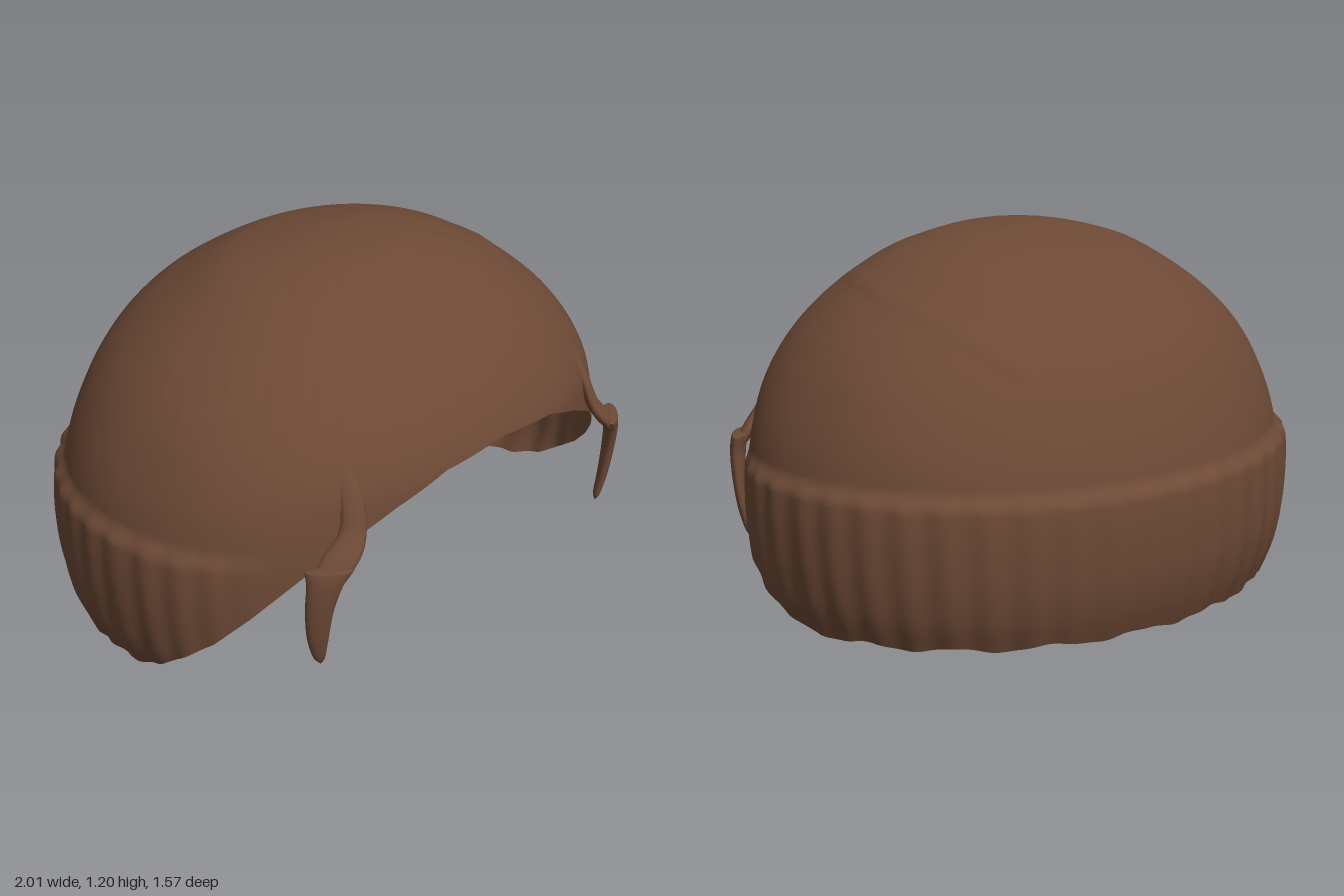
import * as THREE from 'three';

const hairBrown = new THREE.MeshStandardMaterial({ color: 0x6e4a36, side: THREE.DoubleSide });
hairBrown.name = 'hairBrown';

// Cap profile from crown to hem: [y, half width, front z, back z]
const PROFILE = [
  [1.2, 0, 0.08, 0.08], [1.192, 0.18, 0.24, -0.04], [1.15, 0.36, 0.37, -0.23],
  [1.1, 0.48, 0.47, -0.345], [1.0, 0.63, 0.6, -0.5], [0.9, 0.745, 0.69, -0.6],
  [0.8, 0.83, 0.75, -0.66], [0.7, 0.89, 0.785, -0.7], [0.6, 0.935, 0.79, -0.73],
  [0.5, 0.962, 0.79, -0.75], [0.4, 0.972, 0.79, -0.757], [0.3, 0.97, 0.79, -0.755],
  [0.2, 0.96, 0.785, -0.745], [0.1, 0.94, 0.78, -0.72], [0, 0.9, 0.77, -0.68],
];
// Height of the hem by angle from the front, in degrees
const HEM = [[0, 0.72], [14, 0.695], [25, 0.625], [36, 0.535], [48, 0.4],
  [65, 0.2], [80, 0.06], [88, 0.012], [180, 0.01]];

const smooth = THREE.MathUtils.smoothstep;

function hemHeight(a) {
  const d = THREE.MathUtils.radToDeg(a);
  let i = 0;
  while (i < HEM.length - 2 && HEM[i + 1][0] < d) i++;
  const t = (d - HEM[i][0]) / (HEM[i + 1][0] - HEM[i][0]);
  return THREE.MathUtils.lerp(HEM[i][1], HEM[i + 1][1], t);
}

// Catmull-Rom through the profile rows
function profileAt(u) {
  const last = PROFILE.length - 1;
  const i = Math.min(Math.floor(u), last - 1), t = u - i;
  const crown = [1.192, -0.18, -0.04, 0.24];
  return PROFILE[i].map((p1, k) => {
    const p0 = i ? PROFILE[i - 1][k] : crown[k];
    const p2 = PROFILE[i + 1][k];
    const p3 = i + 2 <= last ? PROFILE[i + 2][k] : 2 * p2 - p1;
    return p1 + 0.5 * t * (p2 - p0 + t * (2 * p0 - 5 * p1 + 4 * p2 - p3 + t * (3 * (p1 - p2) + p3 - p0)));
  });
}

function profileIndex(y) {
  let lo = 0, hi = PROFILE.length - 1;
  for (let n = 0; n < 24; n++) {
    const mid = (lo + hi) / 2;
    if (profileAt(mid)[0] > y) lo = mid; else hi = mid;
  }
  return hi;
}

// Triangles for a grid of rings, each closed on itself
function ringGeometry(positions, rings, sides) {
  const index = [];
  for (let j = 0; j < rings - 1; j++) {
    for (let i = 0; i < sides; i++) {
      const n = (i + 1) % sides;
      const a = j * sides + i, b = j * sides + n, c = a + sides, d = b + sides;
      index.push(a, c, b, b, c, d);
    }
  }
  const g = new THREE.BufferGeometry();
  g.setAttribute('position', new THREE.Float32BufferAttribute(positions, 3));
  g.setIndex(index);
  g.computeVertexNormals();
  return g;
}

function capGeometry() {
  const sides = 288, rings = 110, pos = [];
  const ends = [];
  for (let i = 0; i < sides; i++) {
    const a = (i / sides) * Math.PI * 2;
    const side = Math.min(a, Math.PI * 2 - a);
    const wave = 0.008 * Math.sin(a * 18) * smooth(side, 1.3, 1.7);
    ends.push(profileIndex(hemHeight(side) + wave));
  }
  for (let j = 0; j < rings; j++) {
    for (let i = 0; i < sides; i++) {
      const a = (i / sides) * Math.PI * 2;
      const side = Math.min(a, Math.PI * 2 - a);
      const [y, rx, zf, zb] = profileAt(ends[i] * j / (rings - 1));
      const s = Math.sin(a), c = Math.cos(a);
      const e = c > 0 ? 2 / 2.25 : 1; // squarer towards the brow
      const cx = Math.sign(s) * Math.abs(s) ** e, cz = Math.sign(c) * Math.abs(c) ** e;
      const mid = THREE.MathUtils.lerp(0.05, 0.08, smooth(y, 0.7, 1.2));
      let x = rx * cx, z = mid + (c > 0 ? zf - mid : mid - zb) * cz;
      // Raised skirt with vertical ribs, fading out towards the brow
      const skirt = (1 - smooth(y, 0.465, 0.515)) * smooth(side, 0.75, 1.4);
      let push = skirt * (0.028 + 0.005 * Math.sin(a * 44 + y * 2));
      // Parting ridge over the left side and faint combed strands
      const ridge = x - (0.6 - 0.6 * (z + 0.1) ** 2);
      push += 0.009 * Math.exp(-((ridge / 0.03) ** 2)) * smooth(y, 0.75, 0.9) * smooth(z, -0.6, -0.4) * (1 - smooth(z, 0.3, 0.5));
      push += 0.0012 * Math.sin((z - 0.6 * Math.abs(x)) * 75) * smooth(y, 0.75, 0.95) * smooth(z, -0.1, 0.2);
      x += push * s;
      z += push * c;
      pos.push(x, y, z);
    }
  }
  return ringGeometry(pos, rings, sides);
}

// Flat tapering lock lofted along stations: [x, y, z, half width, half thickness]
function lockGeometry(stations, side) {
  const curve = (k) => new THREE.CatmullRomCurve3(stations.map((p) => new THREE.Vector3(...p.slice(k, k + 3))));
  const path = curve(0);
  const sizes = new THREE.CatmullRomCurve3(stations.map((p) => new THREE.Vector3(p[3], p[4], 0)));
  const rings = 33, sides = 16, pos = [];
  for (let j = 0; j < rings; j++) {
    const t = j / (rings - 1);
    const p = path.getPoint(t), r = sizes.getPoint(t);
    for (let i = 0; i < sides; i++) {
      const a = (i / sides) * Math.PI * 2 * side;
      const w = Math.max(r.x, 0) * Math.cos(a), h = Math.max(r.y, 0) * Math.sin(a);
      pos.push(side * (p.x + w * 0.77 + h * 0.64), p.y, p.z - w * 0.64 + h * 0.77);
    }
  }
  return ringGeometry(pos, rings, sides);
}

const UPPER_LOCK = [
  [0.55, 0.805, 0.59, 0.002, 0.002], [0.55, 0.77, 0.612, 0.03, 0.015],
  [0.56, 0.68, 0.66, 0.036, 0.018], [0.58, 0.59, 0.685, 0.042, 0.022],
  [0.635, 0.52, 0.69, 0.06, 0.026], [0.68, 0.47, 0.69, 0.055, 0.022],
];
const HANGING_LOCK = [
  [0.685, 0.505, 0.69, 0, 0], [0.685, 0.5, 0.69, 0.075, 0.026],
  [0.7, 0.45, 0.685, 0.056, 0.025], [0.71, 0.36, 0.672, 0.044, 0.022],
  [0.705, 0.25, 0.66, 0.033, 0.018], [0.69, 0.17, 0.652, 0.018, 0.012],
  [0.685, 0.148, 0.652, 0.001, 0.001],
];

export function createModel() {
  const model = new THREE.Group();
  model.name = 'hair';
  const add = (name, geometry) => {
    const mesh = new THREE.Mesh(geometry, hairBrown);
    mesh.name = name;
    model.add(mesh);
  };
  add('hairCap', capGeometry());
  for (const [label, side] of [['left', 1], ['right', -1]]) {
    add(label + 'UpperLock', lockGeometry(UPPER_LOCK, side));
    add(label + 'HangingLock', lockGeometry(HANGING_LOCK, side));
  }
  return model;
}
